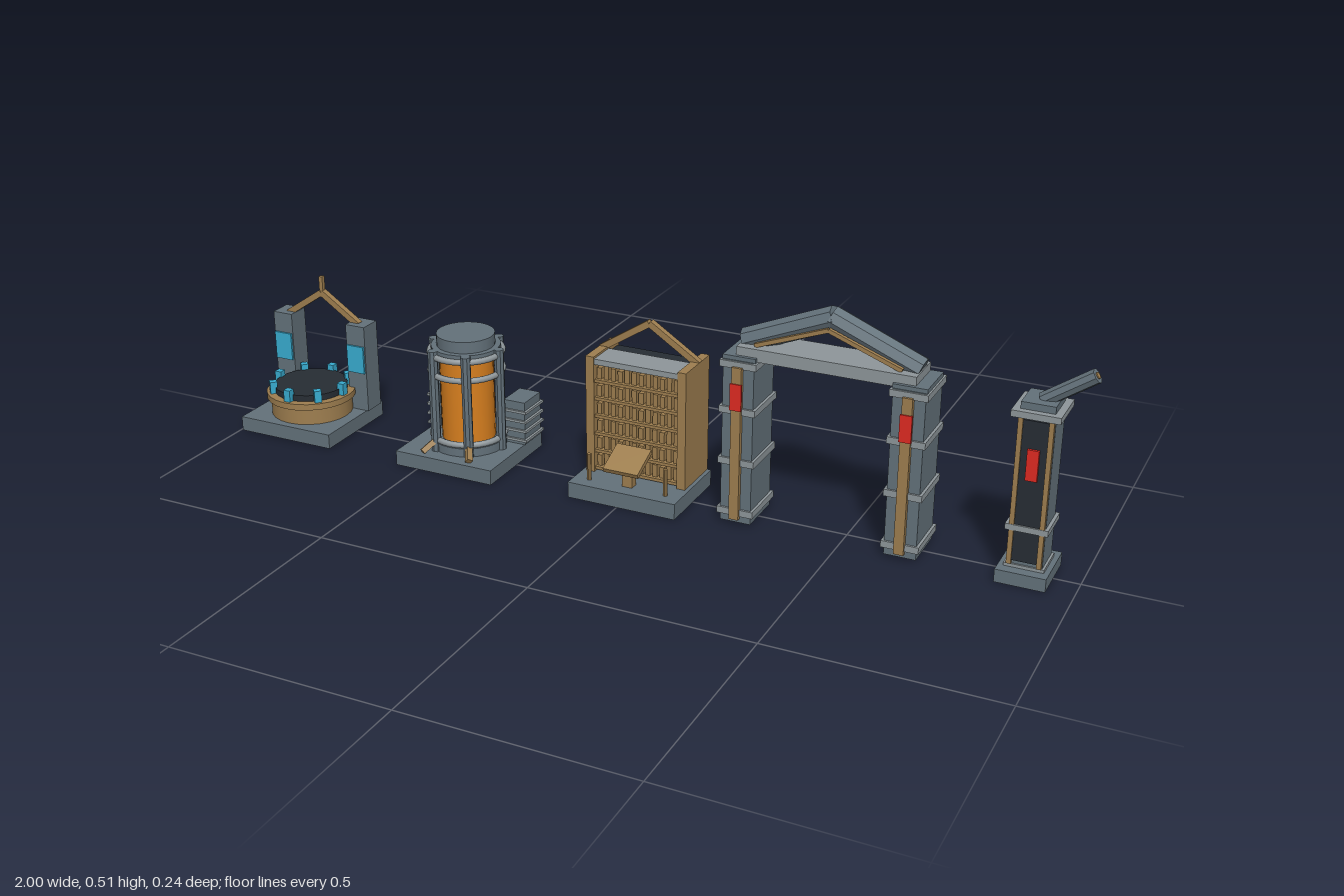
import * as THREE from 'three';

const mat = (name, color) => {
  const m = new THREE.MeshStandardMaterial({ color });
  m.name = name;
  return m;
};

export function createModel() {
  const steel = mat('blue grey stone', 0x64727b);
  const pale = mat('pale grey trim', 0x8f979b);
  const wood = mat('bronze wood', 0x9f7f50);
  const dark = mat('charcoal', 0x272d34);
  const amber = mat('amber core', 0xd9801f);
  const cyan = mat('cyan glow', 0x38acd0);
  const red = mat('red banner', 0xe02a22);
  const root = new THREE.Group();

  const section = (name, x) => {
    const g = new THREE.Group();
    g.name = name;
    g.position.x = x;
    root.add(g);
    return g;
  };
  const add = (g, name, geo, m, x = 0, y = 0, z = 0) => {
    const mesh = new THREE.Mesh(geo, m);
    mesh.name = name;
    mesh.position.set(x, y, z);
    g.add(mesh);
    return mesh;
  };
  // Box given by its minimum and maximum corners
  const box = (g, name, m, x0, x1, y0, y1, z0, z1) =>
    add(g, name, new THREE.BoxGeometry(x1 - x0, y1 - y0, z1 - z0), m, (x0 + x1) / 2, (y0 + y1) / 2, (z0 + z1) / 2);
  const facet = (r0, r1, h, n) => {
    const geo = new THREE.CylinderGeometry(r0, r1, h, n).toNonIndexed();
    geo.computeVertexNormals();
    return geo;
  };
  const drum = (g, name, m, r, y0, y1, n = 24, x = 0, z = 0) =>
    add(g, name, n > 12 ? new THREE.CylinderGeometry(r, r, y1 - y0, n) : facet(r, r, y1 - y0, n), m, x, (y0 + y1) / 2, z);
  // Bar between two points: round with n sides, or square when n is 0
  const bar = (g, name, m, a, b, w, n = 0) => {
    const p = new THREE.Vector3(...a), q = new THREE.Vector3(...b);
    const d = q.clone().sub(p), len = d.length();
    const mesh = add(g, name, n ? facet(w, w, len, n) : new THREE.BoxGeometry(w, len, w), m);
    mesh.position.copy(p).add(q).multiplyScalar(0.5);
    mesh.quaternion.setFromUnitVectors(new THREE.Vector3(0, 1, 0), d.normalize());
    return mesh;
  };
  const sides = [-1, 1];

  // Glowing well with two pillars and a gable
  const well = section('well', -0.87);
  box(well, 'wellBase', steel, -0.125, 0.125, 0, 0.035, -0.113, 0.115);
  drum(well, 'wellWall', wood, 0.097, 0.035, 0.088);
  drum(well, 'wellRim', wood, 0.106, 0.075, 0.09);
  drum(well, 'wellPool', dark, 0.087, 0.088, 0.105);
  for (let i = 0; i < 8; i++) {
    const a = (i * Math.PI) / 4;
    const c = add(well, 'wellCrystal', new THREE.BoxGeometry(0.017, 0.03, 0.017), cyan,
      Math.sin(a) * 0.09, 0.104, Math.cos(a) * 0.09);
    c.rotation.y = a;
  }
  for (const s of sides) {
    const x = s * 0.104;
    box(well, 'wellPillar', steel, x - 0.026, x + 0.026, 0.035, 0.25, -0.1, -0.046);
    box(well, 'wellPanel', cyan, x - 0.023, x + 0.023, 0.132, 0.2, -0.047, -0.041);
    bar(well, 'wellGable', wood, [s * 0.1, 0.245, -0.071], [0, 0.312, -0.071], 0.015);
  }
  box(well, 'wellSpike', wood, -0.005, 0.005, 0.3, 0.352, -0.076, -0.066);

  // Caged amber reactor with finned radiators
  const reactor = section('reactor', -0.43);
  box(reactor, 'reactorBase', steel, -0.125, 0.125, 0, 0.035, -0.12, 0.12);
  drum(reactor, 'reactorFoot', steel, 0.088, 0.035, 0.055);
  drum(reactor, 'reactorCore', amber, 0.062, 0.055, 0.265);
  drum(reactor, 'reactorCollar', steel, 0.08, 0.262, 0.28);
  drum(reactor, 'reactorCap', steel, 0.067, 0.28, 0.307);
  for (const y of [0.062, 0.22, 0.265]) {
    const t = add(reactor, 'reactorRing', new THREE.TorusGeometry(0.083, 0.0075, 8, 32), pale, 0, y, 0);
    t.rotation.x = Math.PI / 2;
  }
  for (let i = 0; i < 6; i++) {
    const a = (i * Math.PI) / 3, c = Math.cos(a), s = Math.sin(a);
    drum(reactor, 'reactorPost', steel, 0.0115, 0.035, 0.28, 8, c * 0.086, s * 0.086);
    if (i % 3) bar(reactor, 'reactorBrace', wood, [c * 0.085, 0.062, s * 0.085], [c * 0.123, 0.04, s * 0.123], 0.013);
  }
  for (const s of sides) {
    const x = s * 0.1;
    box(reactor, 'radiator', steel, x - 0.027, x + 0.027, 0.035, 0.14, -0.113, -0.038);
    for (let i = 0; i < 4; i++) {
      const y = 0.043 + i * 0.0235;
      box(reactor, 'radiatorFin', pale, x - 0.033, x + 0.033, y, y + 0.006, -0.118, -0.033);
    }
  }

  // Archive bookcase with a reading desk
  const shelf = section('bookcase', 0.01);
  box(shelf, 'bookcaseBase', steel, -0.13, 0.13, 0, 0.037, -0.098, 0.098);
  box(shelf, 'bookcaseBack', dark, -0.103, 0.103, 0.037, 0.3, -0.096, -0.06);
  box(shelf, 'bookcaseInner', steel, -0.103, 0.103, 0.037, 0.3, -0.06, -0.01);
  box(shelf, 'bookcaseTop', pale, -0.104, 0.104, 0.295, 0.308, -0.05, 0.022);
  for (const s of sides) {
    const x = s * 0.111;
    box(shelf, 'bookcaseSide', wood, x - 0.01, x + 0.01, 0.037, 0.313, -0.1, 0.024);
    bar(shelf, 'bookcaseGable', wood, [s * 0.118, 0.308, -0.052], [0, 0.384, -0.052], 0.015);
    drum(shelf, 'candlePost', wood, 0.005, 0.037, 0.1, 8, s * 0.093, 0.065);
  }
  for (let r = 0; r < 6; r++) {
    const y = 0.042 + r * 0.042;
    box(shelf, 'shelfBoard', wood, -0.102, 0.102, y, y + 0.007, -0.012, 0.02);
    for (let i = 0; i < 12; i++) {
      const x = -0.0935 + i * 0.017;
      const h = 0.026 + 0.003 * ((i * 5 + r * 3) % 3);
      box(shelf, 'book', wood, x - 0.0055, x + 0.0055, y + 0.007, y + 0.007 + h, -0.012, 0.012);
    }
  }
  const desk = add(shelf, 'readingDesk', new THREE.BoxGeometry(0.084, 0.011, 0.078), wood, 0, 0.1, 0.062);
  desk.rotation.x = 0.42;
  box(shelf, 'deskStand', wood, -0.012, 0.012, 0.037, 0.095, 0.045, 0.065);

  // Gate with two banded towers and a pitched roof
  const gate = section('gate', 0.45);
  for (const s of sides) {
    const x = s * 0.185;
    box(gate, 'gateTower', steel, x - 0.035, x + 0.035, 0.005, 0.378, -0.054, 0.057);
    for (const y of [0.022, 0.14, 0.258, 0.362])
      box(gate, 'gateBand', pale, x - 0.041, x + 0.041, y, y + 0.015, -0.061, 0.062);
    box(gate, 'gateCap', steel, x - 0.037, x + 0.037, 0.377, 0.387, -0.05, 0.055);
    box(gate, 'gateStrip', wood, x - 0.011, x + 0.011, 0.015, 0.366, 0.056, 0.068);
    box(gate, 'gateBanner', red, x - 0.013, x + 0.013, 0.27, 0.33, 0.066, 0.071);
    bar(gate, 'gateRoofBeam', steel, [s * 0.192, 0.405, 0], [s * -0.004, 0.486, 0], 0.027, 8);
    bar(gate, 'gateRoofTrim', wood, [s * 0.16, 0.408, 0.03], [0, 0.468, 0.03], 0.009);
  }
  box(gate, 'gateLintel', pale, -0.195, 0.195, 0.378, 0.406, -0.047, 0.047);

  // Watch pillar with a tilted barrel
  const pillar = section('pillar', 0.89);
  box(pillar, 'pillarBase', steel, -0.053, 0.053, 0, 0.029, -0.066, 0.066);
  box(pillar, 'pillarFoot', pale, -0.042, 0.042, 0.029, 0.036, -0.042, 0.042);
  box(pillar, 'pillarShaft', steel, -0.037, 0.037, 0.036, 0.365, -0.038, 0.038);
  box(pillar, 'pillarBand', pale, -0.044, 0.044, 0.113, 0.126, -0.047, 0.047);
  box(pillar, 'pillarPanel', dark, -0.026, 0.026, 0.045, 0.355, 0.037, 0.043);
  box(pillar, 'pillarBanner', red, -0.012, 0.012, 0.228, 0.295, 0.042, 0.049);
  for (const s of sides)
    box(pillar, 'pillarFrame', wood, s * 0.031 - 0.005, s * 0.031 + 0.005, 0.037, 0.361, 0.037, 0.046);
  box(pillar, 'pillarCap', pale, -0.05, 0.05, 0.361, 0.375, -0.053, 0.053);
  box(pillar, 'pillarTop', steel, -0.035, 0.035, 0.375, 0.39, -0.038, 0.038);
  bar(pillar, 'barrel', steel, [0, 0.385, 0], [0.1, 0.454, 0], 0.016, 8);
  bar(pillar, 'barrelBore', wood, [0.098, 0.4526, 0], [0.102, 0.4554, 0], 0.007, 8);

  return root;
}
